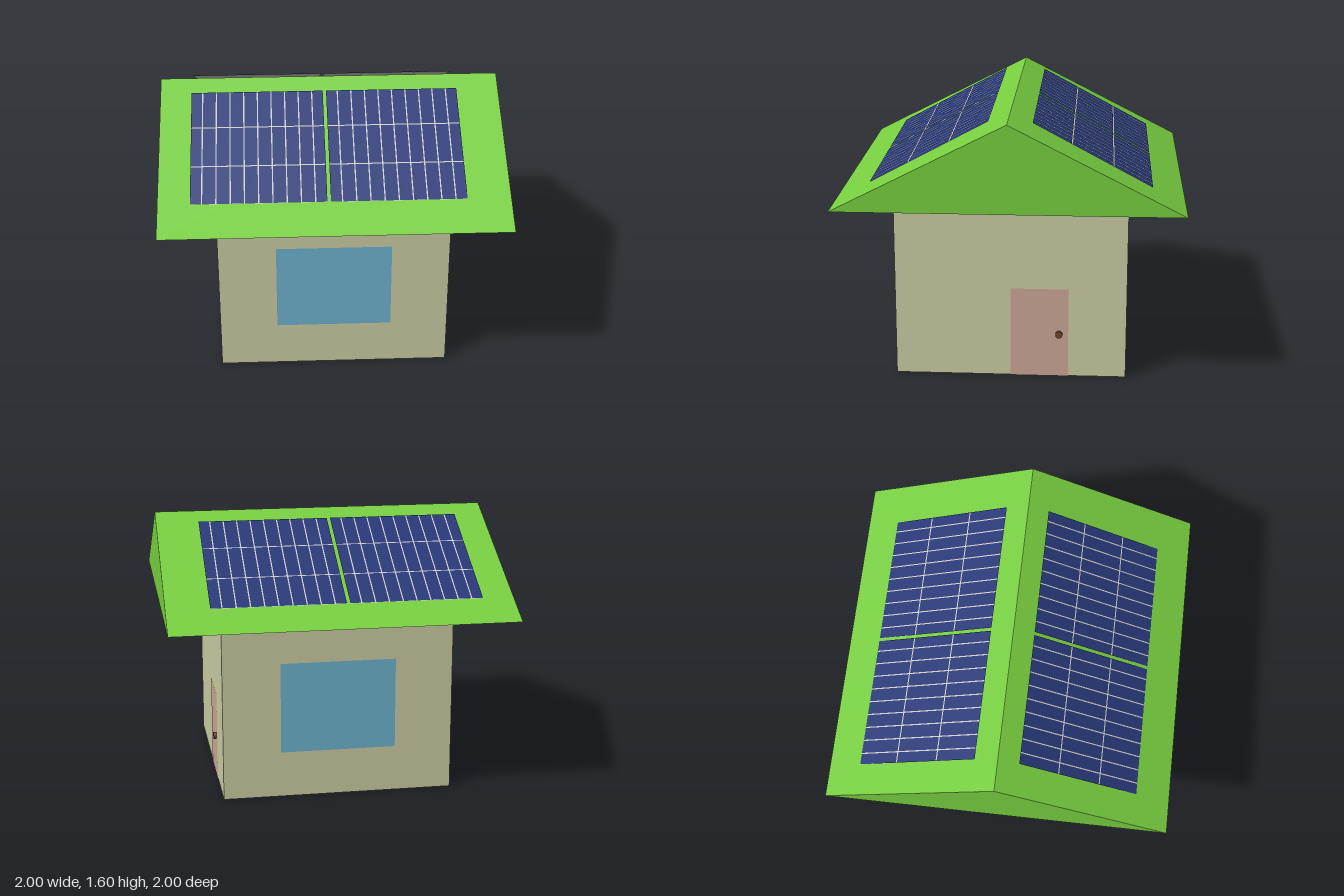
import * as THREE from 'three';
import { mergeGeometries } from 'three/addons/utils/BufferGeometryUtils.js';

const paint = (color, side = THREE.FrontSide) => new THREE.MeshStandardMaterial({ color, side });

const WALL = 0.68, EAVE = 1.09, RIDGE = 1.6, SKIN = 0.002;

function add(parent, name, geometry, material, x = 0, y = 0, z = 0) {
  const mesh = new THREE.Mesh(geometry, material);
  mesh.name = name;
  mesh.position.set(x, y, z);
  parent.add(mesh);
  return mesh;
}

// Edges of the cells along one panel: end cells are narrower than the rest
function cellEdges(count, length, endShare) {
  const step = length / (count - 2 + 2 * endShare);
  const edges = [0];
  for (let i = 0; i < count; i++) {
    edges.push(edges[i] + step * (i === 0 || i === count - 1 ? endShare : 1));
  }
  return edges;
}

// A flat panel in local x (width) and y (up the slope), facing +z
function solarPanel(width, height, cellPaint, linePaint) {
  const panel = new THREE.Group();
  panel.name = 'solarPanel';
  add(panel, 'panelGridLines', new THREE.PlaneGeometry(width, height), linePaint);
  const xs = cellEdges(10, width, 0.82), ys = cellEdges(3, height, 0.94);
  const gap = 0.0035, cells = [];
  for (let i = 0; i < 10; i++) {
    for (let j = 0; j < 3; j++) {
      const x0 = xs[i] + (i > 0 ? gap : 0), x1 = xs[i + 1] - (i < 9 ? gap : 0);
      const y0 = ys[j] + (j > 0 ? gap : 0), y1 = ys[j + 1] - (j < 2 ? gap : 0);
      cells.push(new THREE.PlaneGeometry(x1 - x0, y1 - y0)
        .translate((x0 + x1 - width) / 2, (y0 + y1 - height) / 2, SKIN));
    }
  }
  add(panel, 'panelCells', mergeGeometries(cells), cellPaint);
  return panel;
}

export function createModel() {
  const house = new THREE.Group();
  house.name = 'house';
  const wallPaint = paint(0xcccda3), roofPaint = paint(0x78d040);
  const glassPaint = paint(0x6fb4cf), doorPaint = paint(0xcca796);
  const cellPaint = paint(0x273878, THREE.DoubleSide), linePaint = paint(0xd4d4d4, THREE.DoubleSide);

  // Walls, with a green underside
  const wallHeight = EAVE - SKIN;
  add(house, 'walls', new THREE.BoxGeometry(2 * WALL, wallHeight, 2 * WALL),
    [wallPaint, wallPaint, wallPaint, roofPaint, wallPaint, wallPaint], 0, SKIN + wallHeight / 2, 0);
  const patch = add(house, 'floorPatch', new THREE.PlaneGeometry(0.34, 0.34), wallPaint, -0.51, 0, -0.17);
  patch.rotation.x = Math.PI / 2;

  // Windows front and back
  for (const s of [1, -1]) {
    const pane = add(house, s > 0 ? 'frontWindow' : 'backWindow',
      new THREE.PlaneGeometry(0.68, 0.54), glassPaint, 0, 0.545, s * (WALL + SKIN));
    if (s < 0) pane.rotation.y = Math.PI;
  }

  // Door and knob on the +x wall
  const door = add(house, 'door', new THREE.PlaneGeometry(0.34, 0.545), doorPaint, WALL + SKIN, 0.2725, -0.17);
  door.rotation.y = Math.PI / 2;
  const knob = add(house, 'doorKnob', new THREE.CylinderGeometry(0.021, 0.021, 0.02, 24),
    paint(0x70452a), WALL + 0.01, 0.265, -0.285);
  knob.rotation.z = Math.PI / 2;

  // Gable roof, a solid prism along x
  const gable = new THREE.Shape([
    new THREE.Vector2(-1, EAVE), new THREE.Vector2(1, EAVE), new THREE.Vector2(0, RIDGE),
  ]);
  const roof = new THREE.ExtrudeGeometry(gable, { depth: 2, bevelEnabled: false });
  roof.translate(0, 0, -1).rotateY(Math.PI / 2);
  add(house, 'roof', roof, roofPaint);

  // Two panels per slope, tilted a little steeper than the roof
  for (const [s, zTop, zLow] of [[1, 0.12, 0.8], [-1, 0.13, 0.81]]) {
    const yTop = 1.56 - (zTop - 0.12) * 0.5, yLow = 1.196 - (zLow - 0.8) * 0.5;
    const run = zLow - zTop, rise = yTop - yLow;
    for (const x of [-0.43, 0.363]) {
      const panel = solarPanel(0.773, Math.hypot(run, rise), cellPaint, linePaint);
      panel.position.set(x, (yTop + yLow) / 2, s * (zTop + zLow) / 2);
      panel.rotation.order = 'YXZ';
      panel.rotation.set(-Math.atan2(run, rise), s > 0 ? 0 : Math.PI, 0);
      house.add(panel);
    }
  }
  return house;
}
